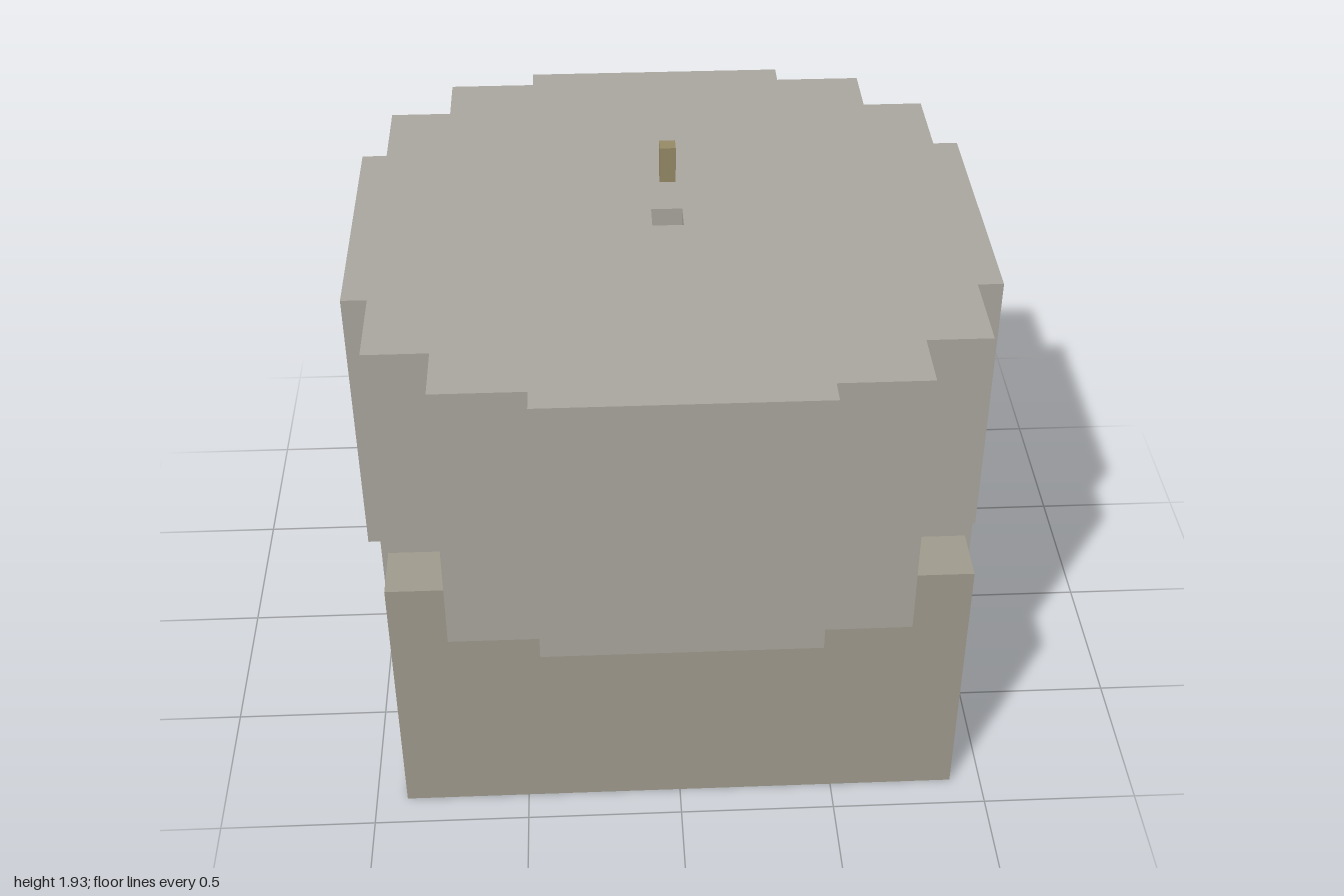
import * as THREE from 'three';

export function createModel() {
  const group = new THREE.Group();
  const stone = new THREE.MeshStandardMaterial({ color: 0xaaa79f, flatShading: true });
  const tan = new THREE.MeshStandardMaterial({ color: 0x9f9b8e, flatShading: true });
  const brass = new THREE.MeshStandardMaterial({ color: 0x968b67, flatShading: true });

  const add = (name, geometry, material, x = 0, y = 0, z = 0) => {
    const mesh = new THREE.Mesh(geometry, material);
    mesh.name = name;
    mesh.position.set(x, y, z);
    group.add(mesh);
    return mesh;
  };

  // Square base with a short post on each corner
  const baseHeight = 0.72, half = 0.9, inner = 0.72, postTop = 0.915;
  const postWidth = half - inner, postHeight = postTop - baseHeight;
  add('base', new THREE.BoxGeometry(2 * half, baseHeight, 2 * half), tan, 0, baseHeight / 2, 0);
  const postGeometry = new THREE.BoxGeometry(postWidth, postHeight, postWidth);
  const postCentre = (half + inner) / 2;
  for (const sx of [-1, 1]) {
    for (const sz of [-1, 1]) {
      add('cornerPost', postGeometry, tan, sx * postCentre, baseHeight + postHeight / 2, sz * postCentre);
    }
  }

  // Stepped upper block: one quarter of the outline turned four times
  const quarter = [[1, 0.435], [0.92, 0.435], [0.92, 0.72], [0.72, 0.72], [0.72, 0.92], [0.435, 0.92], [0.435, 1]];
  const outline = [];
  for (let i = 0; i < 4; i++) {
    const turn = i * Math.PI / 2;
    for (const [x, y] of quarter) {
      outline.push(new THREE.Vector2(x, y).rotateAround(new THREE.Vector2(), turn));
    }
  }
  const shape = new THREE.Shape(outline);

  // Square socket through the middle of the block
  const s = 0.05;
  shape.holes.push(new THREE.Path([[-s, -s], [-s, s], [s, s], [s, -s]].map(([x, y]) => new THREE.Vector2(x, y))));
  const blockGeometry = new THREE.ExtrudeGeometry(shape, { depth: 1.667 - baseHeight, bevelEnabled: false });
  blockGeometry.rotateX(-Math.PI / 2);
  add('steppedBlock', blockGeometry, stone, 0, baseHeight, 0);

  // Small pin held above the socket
  add('pin', new THREE.BoxGeometry(0.05, 0.12, 0.05), brass, 0, 1.87, 0);

  return group;
}
